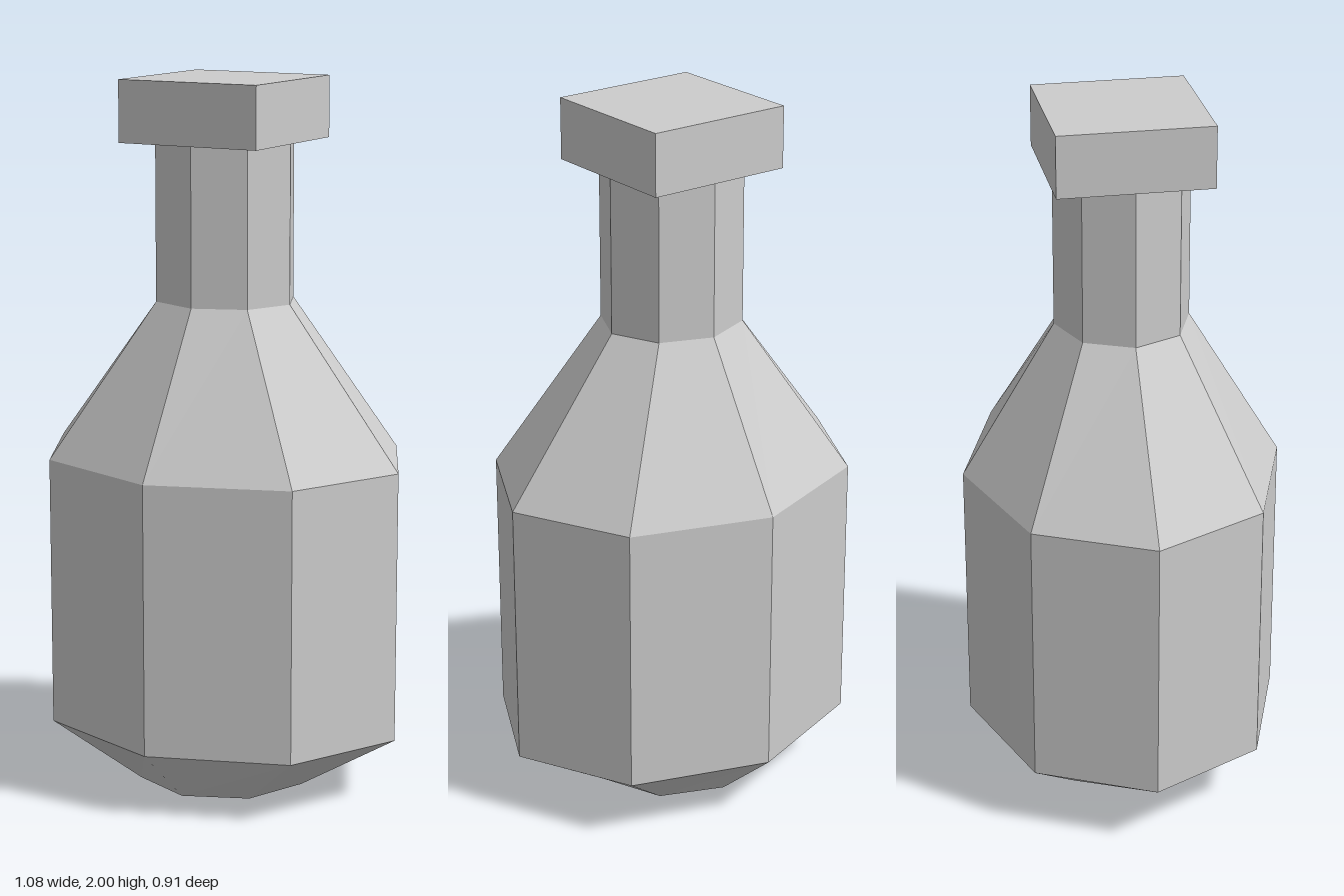
import * as THREE from 'three';

const SIDES = 8;

// Faceted surface through elliptical rings [y, radiusX, radiusZ], listed bottom to top
function ringSurface(rings) {
  const corner = ([y, rx, rz], i) => {
    const a = (i % SIDES) * Math.PI * 2 / SIDES;
    return [rx * Math.sin(a), y, rz * Math.cos(a)];
  };
  const positions = [];
  for (let r = 0; r < rings.length - 1; r++) {
    for (let i = 0; i < SIDES; i++) {
      const a = corner(rings[r], i), b = corner(rings[r], i + 1);
      const c = corner(rings[r + 1], i + 1), d = corner(rings[r + 1], i);
      if (rings[r][1] > 0) positions.push(...a, ...b, ...c);
      if (rings[r + 1][1] > 0) positions.push(...a, ...c, ...d);
    }
  }
  const geometry = new THREE.BufferGeometry();
  geometry.setAttribute('position', new THREE.Float32BufferAttribute(positions, 3));
  geometry.computeVertexNormals();
  return geometry;
}

export function createModel() {
  const model = new THREE.Group();
  model.name = 'bottle';
  const grey = new THREE.MeshStandardMaterial({ color: 0xcccccc, flatShading: true });
  grey.name = 'light grey';

  const add = (name, geometry) => {
    const mesh = new THREE.Mesh(geometry, grey);
    mesh.name = name;
    model.add(mesh);
    return mesh;
  };

  // Flat base, tapered foot, straight belly and sloping shoulder
  add('body', ringSurface([
    [0, 0, 0],
    [0, 0.25, 0.25],
    [0.18, 0.542, 0.453],
    [0.945, 0.542, 0.453],
    [1.385, 0.204, 0.19],
  ]));

  // Straight neck, running up to the stopper
  add('neck', ringSurface([
    [1.385, 0.204, 0.19],
    [1.83, 0.204, 0.19],
  ]));

  // Square stopper
  add('stopper', new THREE.BoxGeometry(0.426, 0.172, 0.426)).position.y = 1.914;

  return model;
}
